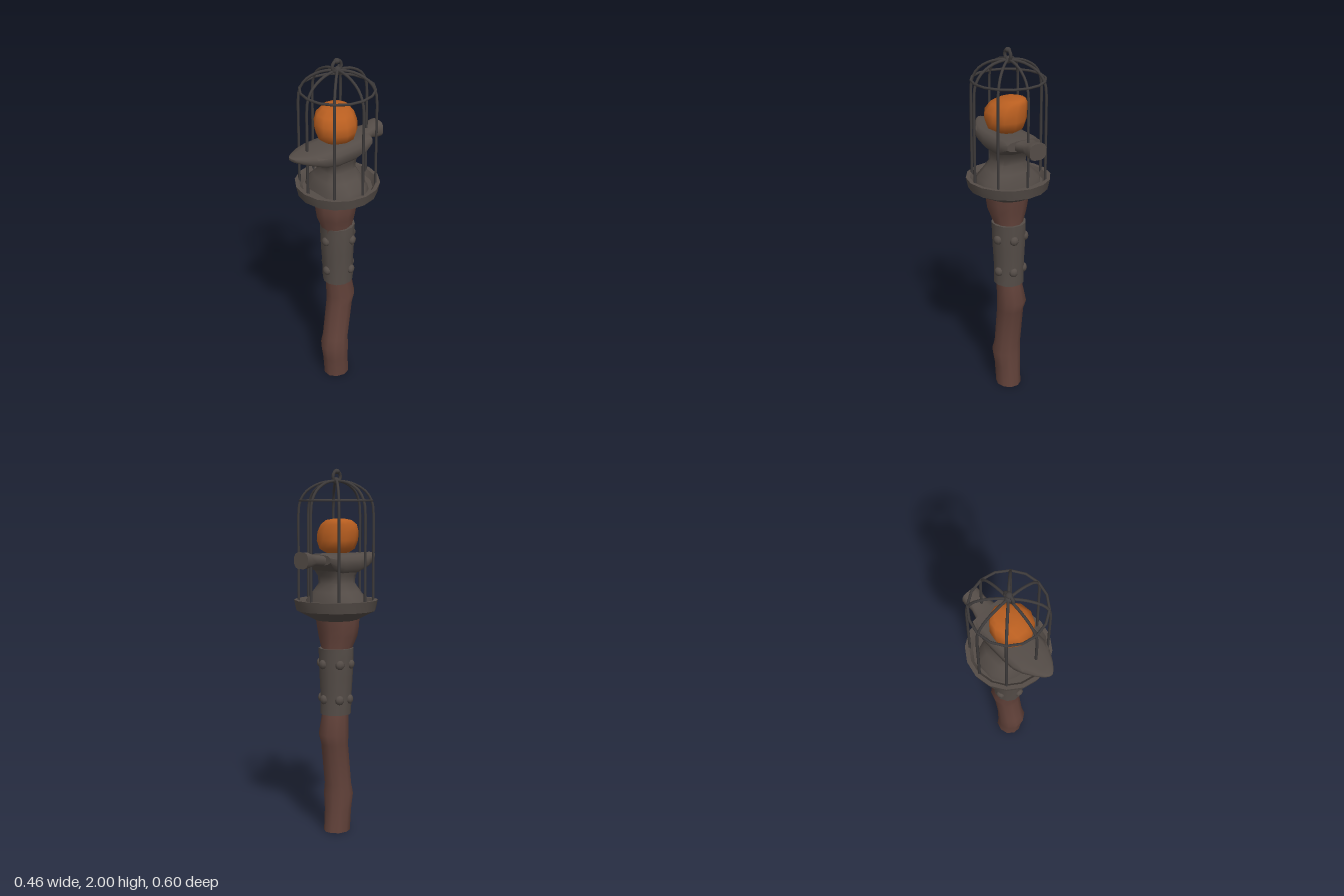
import * as THREE from 'three';
import { toCreasedNormals } from 'three/addons/utils/BufferGeometryUtils.js';

const mat = (name, color) => {
  const m = new THREE.MeshStandardMaterial({ color });
  m.name = name;
  return m;
};

// Closed skin over elliptical sections [y, cx, cz, rx, rz], stacked along y.
// power 1 is an ellipse, smaller values are boxier.
function loft(sections, sides, power = 1, crease = 0.9) {
  const pos = [], index = [];
  const bend = (v) => Math.sign(v) * Math.pow(Math.abs(v), power);
  for (const [y, cx, cz, rx, rz] of sections) {
    for (let i = 0; i < sides; i++) {
      const a = ((i + 0.5) / sides) * Math.PI * 2;
      pos.push(cx + rx * bend(Math.sin(a)), y, cz + rz * bend(Math.cos(a)));
    }
  }
  const last = (sections.length - 1) * sides;
  for (let s = 0; s < last; s += sides) {
    for (let i = 0; i < sides; i++) {
      const j = (i + 1) % sides;
      index.push(s + i, s + j, s + sides + j, s + i, s + sides + j, s + sides + i);
    }
  }
  for (let i = 1; i < sides - 1; i++) {
    index.push(0, i + 1, i, last, last + i, last + i + 1);
  }
  const g = new THREE.BufferGeometry();
  g.setAttribute('position', new THREE.Float32BufferAttribute(pos, 3));
  g.setIndex(index);
  return toCreasedNormals(g, crease);
}

export function createModel() {
  const root = new THREE.Group();
  root.name = 'cagedLanternStaff';
  const wood = mat('brown wood', 0x62423a);
  const iron = mat('grey iron', 0x544c47);
  const darkIron = mat('dark cage iron', 0x3e3b3b);
  const ember = mat('orange ember', 0xb85e20);

  const add = (name, geometry, material, parent = root) => {
    const m = new THREE.Mesh(geometry, material);
    m.name = name;
    parent.add(m);
    return m;
  };

  // Crooked wooden shaft with a flared head
  add('shaft', loft([
    [0, -0.003, -0.012, 0.07, 0.077],
    [0.12, -0.002, -0.002, 0.072, 0.077],
    [0.21, 0.001, 0.006, 0.081, 0.083],
    [0.27, -0.002, -0.002, 0.073, 0.075],
    [0.5, -0.003, -0.032, 0.073, 0.077],
    [0.56, -0.006, -0.043, 0.08, 0.086],
    [0.66, -0.001, -0.025, 0.07, 0.08],
    [1.03, 0, -0.01, 0.08, 0.09],
    [1.1, 0, 0, 0.107, 0.107],
    [1.15, 0, 0, 0.115, 0.115],
    [1.2, 0, -0.003, 0.12, 0.12],
    [1.26, 0, -0.01, 0.12, 0.12],
  ], 10), wood);

  // Iron sleeve and its rivets
  add('sleeve', loft([
    [0.67, -0.001, -0.02, 0.084, 0.086],
    [0.8, -0.002, -0.018, 0.086, 0.088],
    [0.87, -0.002, -0.017, 0.09, 0.092],
    [0.98, -0.002, -0.017, 0.096, 0.095],
    [1.035, -0.002, -0.017, 0.096, 0.096],
  ], 12), iron);
  const rivets = new THREE.Group();
  rivets.name = 'rivets';
  root.add(rivets);
  for (const [y, r] of [[0.755, 0.085], [0.95, 0.092]]) {
    for (const deg of [4, 110, 170, 235, 285]) {
      const a = THREE.MathUtils.degToRad(deg);
      const rivet = add('rivet', new THREE.SphereGeometry(0.026, 8, 6), iron, rivets);
      rivet.position.set(r * Math.sin(a), y, -0.018 + r * Math.cos(a));
      rivet.rotation.y = a;
      rivet.scale.z = 0.7;
    }
  }

  // Round plate with a raised rim
  const plateProfile = [
    [0, 1.19], [0.115, 1.19], [0.216, 1.242], [0.229, 1.3], [0.207, 1.3], [0.188, 1.27], [0, 1.268],
  ].map(([r, y]) => new THREE.Vector2(r, y));
  add('plate', toCreasedNormals(new THREE.LatheGeometry(plateProfile, 16), 0.6), iron)
    .position.z = -0.015;

  // Anvil: spreading foot and waist, then the top lofted from heel to horn
  const anvil = new THREE.Group();
  anvil.name = 'anvil';
  root.add(anvil);
  add('anvilFoot', loft([
    [1.26, 0, -0.01, 0.178, 0.138],
    [1.3, 0, -0.01, 0.168, 0.13],
    [1.345, 0, -0.01, 0.12, 0.115],
    [1.39, 0, -0.01, 0.086, 0.092],
    [1.43, 0, -0.01, 0.086, 0.1],
    [1.47, 0, -0.01, 0.1, 0.13],
  ], 12, 0.7), iron, anvil);
  // [z, bottom, top, half width]
  const topSections = [
    [-0.175, 1.492, 1.55, 0.1],
    [-0.13, 1.46, 1.552, 0.112],
    [-0.06, 1.437, 1.552, 0.113],
    [0.06, 1.437, 1.55, 0.113],
    [0.14, 1.46, 1.548, 0.108],
    [0.19, 1.48, 1.546, 0.092],
    [0.25, 1.502, 1.546, 0.057],
    [0.285, 1.518, 1.546, 0.03],
    [0.3, 1.53, 1.544, 0.01],
  ];
  const heelSections = [
    [-0.303, 1.478, 1.568, 0.049],
    [-0.275, 1.48, 1.566, 0.05],
    [-0.23, 1.494, 1.55, 0.048],
    [-0.19, 1.49, 1.548, 0.06],
    [-0.15, 1.485, 1.546, 0.068],
  ];
  const alongZ = (rows, cx) =>
    loft(rows.map(([z, b, t, w]) => [z, cx, -(b + t) / 2, w, (t - b) / 2]), 12, 0.65)
      .rotateX(Math.PI / 2);
  add('anvilTop', alongZ(topSections, 0), iron, anvil);
  add('anvilHeel', alongZ(heelSections, -0.007), iron, anvil);

  // Lumpy glowing ember, highest at the back left of the view
  add('ember', loft([
    [1.553, 0.005, 0, 0.06, 0.065],
    [1.575, 0.008, 0, 0.098, 0.098],
    [1.62, 0.008, 0.002, 0.114, 0.114],
    [1.665, 0.005, 0.003, 0.114, 0.113],
    [1.705, -0.008, -0.005, 0.098, 0.1],
    [1.728, -0.022, -0.02, 0.07, 0.072],
    [1.735, -0.032, -0.03, 0.035, 0.04],
  ], 11, 1, 1.3).applyMatrix4(new THREE.Matrix4()), ember);

  // Cage: eight bent bars, a hoop, a hub and a hanging ring
  const cage = new THREE.Group();
  cage.name = 'cage';
  cage.position.z = -0.015;
  root.add(cage);
  const dome = new THREE.CatmullRomCurve3([
    [0.203, 1.76], [0.194, 1.825], [0.16, 1.88], [0.1, 1.918], [0.05, 1.932], [0, 1.936],
  ].map(([x, y]) => new THREE.Vector3(x, y, 0)));
  const path = new THREE.CurvePath();
  path.add(new THREE.LineCurve3(new THREE.Vector3(0.203, 1.265, 0), new THREE.Vector3(0.203, 1.76, 0)));
  path.add(dome);
  const barGeometry = new THREE.TubeGeometry(path, 28, 0.0075, 6);
  for (let i = 0; i < 8; i++) {
    add('cageBar', barGeometry, darkIron, cage).rotation.y = (i * Math.PI) / 4;
  }
  const hoop = add('cageHoop', new THREE.TorusGeometry(0.195, 0.007, 6, 16), darkIron, cage);
  hoop.rotation.x = Math.PI / 2;
  hoop.position.y = 1.832;
  const hub = add('cageHub', new THREE.SphereGeometry(0.02, 8, 6), darkIron, cage);
  hub.position.y = 1.935;
  const ring = add('hangingRing', new THREE.TorusGeometry(0.03, 0.009, 6, 14), darkIron, cage);
  ring.rotation.y = Math.PI / 2;
  ring.position.set(0, 1.958, 0.005);
  const knob = add('ringKnob', new THREE.SphereGeometry(0.018, 8, 6), darkIron, cage);
  knob.scale.y = 0.8;
  knob.position.set(0, 1.985, 0.005);

  return root;
}
